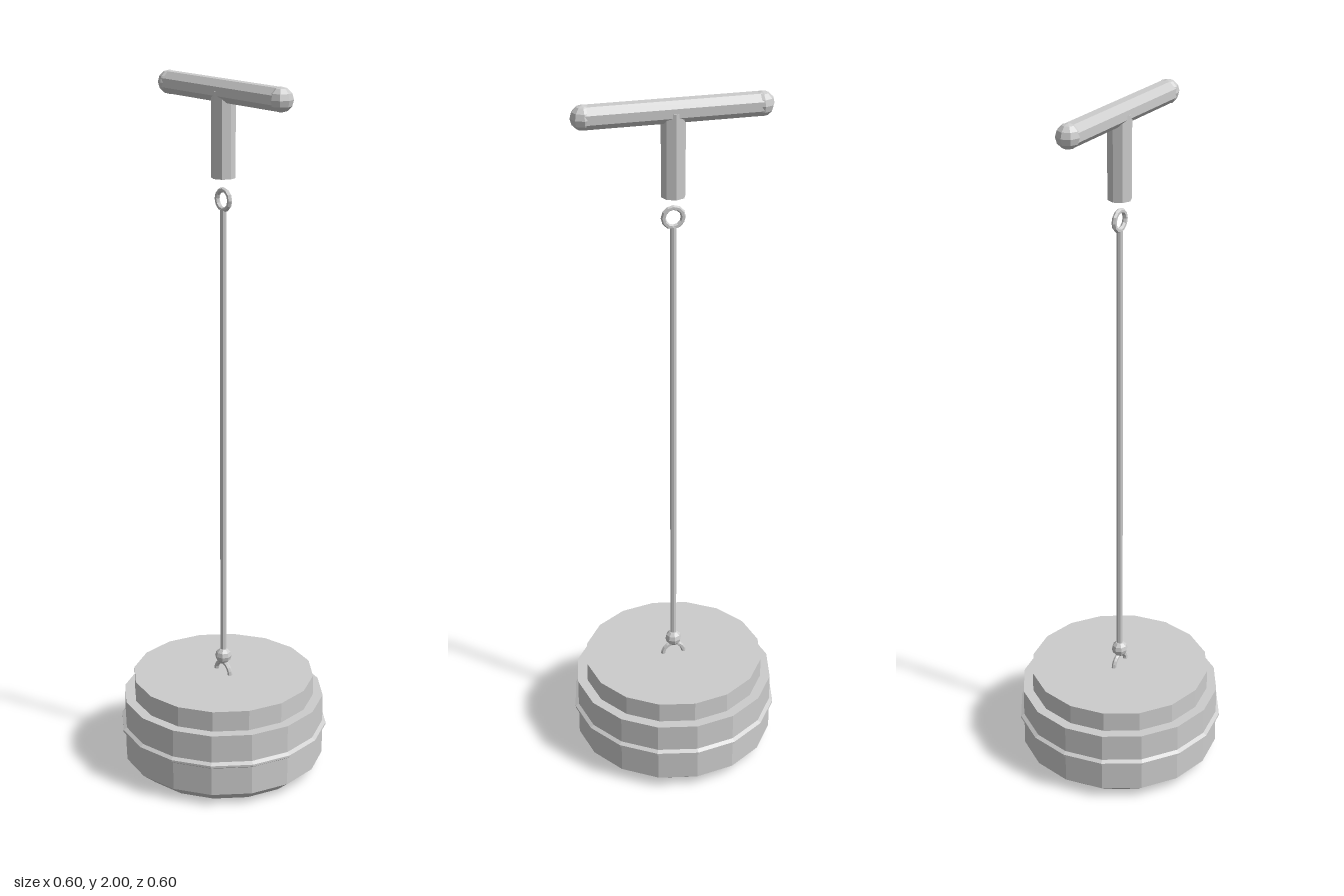
import * as THREE from 'three';

export function createModel() {
  const model = new THREE.Group();
  model.name = 'plungerWithHandle';
  const grey = new THREE.MeshStandardMaterial({ color: 0xcccccc, flatShading: true });
  grey.name = 'grey metal';

  const add = (name, geometry, x = 0, y = 0, z = 0) => {
    const mesh = new THREE.Mesh(geometry, grey);
    mesh.name = name;
    mesh.position.set(x, y, z);
    model.add(mesh);
    return mesh;
  };
  const lathe = (points) =>
    new THREE.LatheGeometry(points.map(([r, y]) => new THREE.Vector2(r, y)), 16);

  // Drum with chamfered foot and a stepped lid
  add('drum', lathe([[0, 0.005], [0.25, 0.005], [0.292, 0.04], [0.292, 0.224], [0, 0.224]]));
  add('lid', lathe([[0.263, 0.22], [0.263, 0.284], [0, 0.284]]));

  // Thin raised band around the drum
  add('band', lathe([[0.29, 0.122], [0.302, 0.13], [0.302, 0.136], [0.29, 0.144]]));

  // Loop on the lid, with a bead joining it to the rod
  add('lidLoop', new THREE.TorusGeometry(0.031, 0.007, 6, 10, Math.PI), 0, 0.284);
  add('bead', new THREE.SphereGeometry(0.024, 8, 6), 0, 0.336);

  // Long rod and its top ring
  add('rod', new THREE.CylinderGeometry(0.009, 0.009, 1.31, 8), 0, 0.995);
  add('topRing', new THREE.TorusGeometry(0.027, 0.007, 6, 12), 0, 1.677);

  // T-shaped handle with rounded ends
  add('handleStem', new THREE.CylinderGeometry(0.033, 0.033, 0.23, 8), 0, 1.851);
  const bar = new THREE.CylinderGeometry(0.032, 0.032, 0.47, 8);
  bar.rotateY(Math.PI / 8);
  bar.rotateZ(Math.PI / 2);
  add('handleBar', bar, 0, 1.967);
  for (const side of [-1, 1]) {
    add(side > 0 ? 'leftKnob' : 'rightKnob',
      new THREE.SphereGeometry(0.033, 8, 6), side * 0.235, 1.967);
  }
  return model;
}
